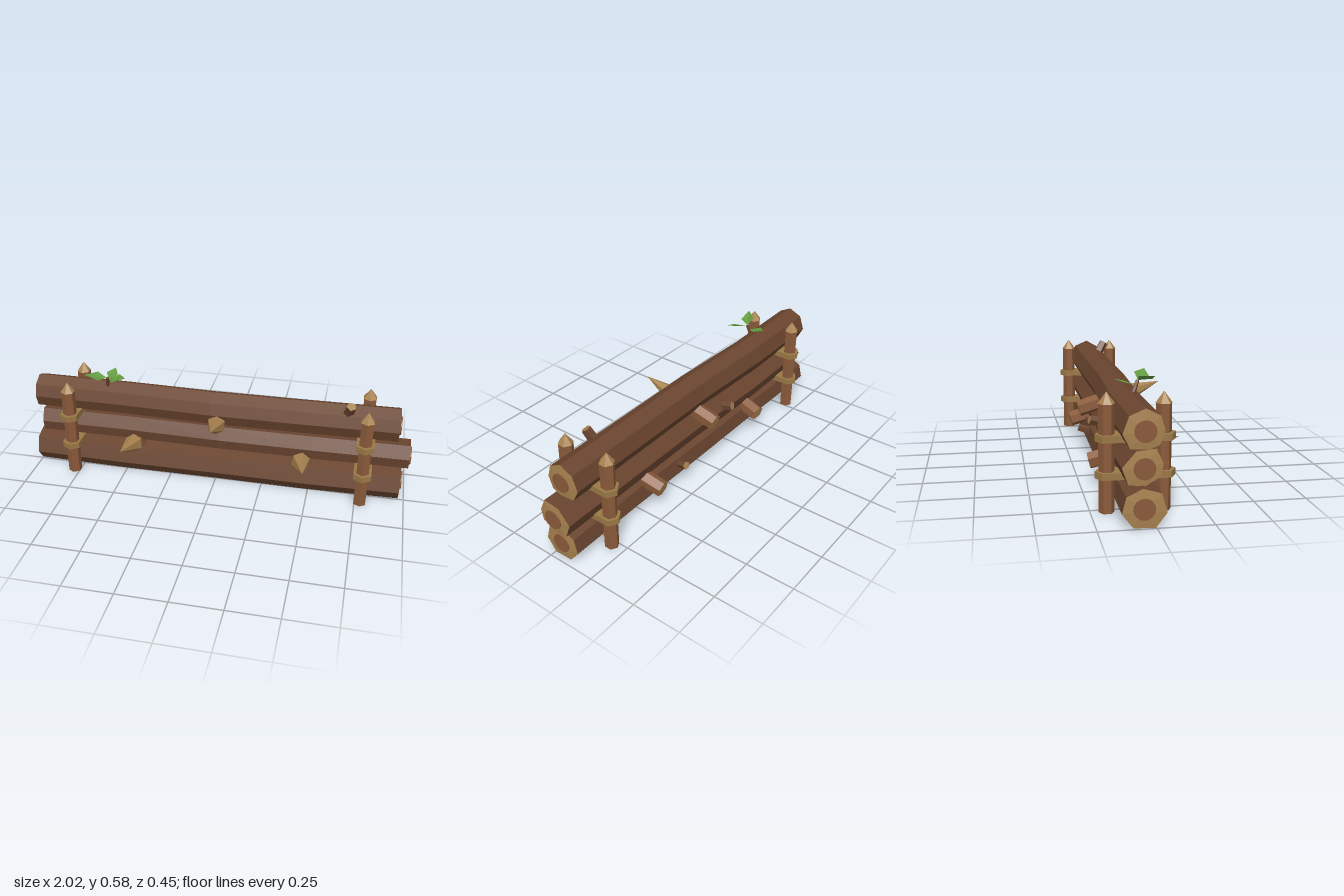
import * as THREE from 'three';

const mat = (name, color, side = THREE.FrontSide) => {
  const m = new THREE.MeshStandardMaterial({ color, flatShading: true, side });
  m.name = name;
  return m;
};

export function createModel() {
  const bark = mat('bark', 0x6a452f);
  const wood = mat('peeledWood', 0x8a5a3a);
  const cut = mat('cutWood', 0xa8824f);
  const strap = mat('strap', 0x9a7846);
  const green = mat('leaf', 0x639c40, THREE.DoubleSide);
  const model = new THREE.Group();
  const V = (x, y, z) => new THREE.Vector3(x, y, z);

  const add = (name, geometry, material, parent = model) => {
    const mesh = new THREE.Mesh(geometry, material);
    mesh.name = name;
    parent.add(mesh);
    return mesh;
  };

  // Faceted rod from a to b; materials are [side, end at b, end at a]
  const rod = (name, a, b, ra, rb, sides, materials, parent) => {
    const dir = b.clone().sub(a);
    const mesh = add(name, new THREE.CylinderGeometry(rb, ra, dir.length(), sides), materials, parent);
    mesh.position.copy(a).add(b).multiplyScalar(0.5);
    mesh.quaternion.setFromUnitVectors(V(0, 1, 0), dir.normalize());
    return mesh;
  };

  const trianglesGeometry = (tris) => {
    const g = new THREE.BufferGeometry().setFromPoints(tris);
    g.computeVertexNormals();
    return g;
  };

  // Logs: a [z, y] outline carried along x with a slight wobble
  const logs = [
    { name: 'bottomLog', x0: -1, x1: 0.97, wobble: [0, 0.006, 0.004, 0.008, 0],
      outline: [[0.043, 0.065], [-0.005, 0.002], [-0.1, 0.005], [-0.148, 0.068], [-0.13, 0.14], [-0.06, 0.174], [0.02, 0.15]] },
    { name: 'middleLog', x0: -0.955, x1: 1, wobble: [0.004, -0.004, 0.006, 0.004, 0],
      outline: [[0, 0.328], [0.03, 0.262], [0.018, 0.207], [-0.047, 0.168], [-0.118, 0.177], [-0.145, 0.25], [-0.085, 0.32]] },
    { name: 'topLog', x0: -0.98, x1: 0.935, wobble: [0.004, -0.002, 0.012, 0.006, 0],
      outline: [[0.012, 0.472], [0.03, 0.41], [0.008, 0.35], [-0.035, 0.332], [-0.115, 0.338], [-0.147, 0.4], [-0.12, 0.475], [-0.05, 0.505]] },
  ];
  for (const { name, x0, x1, wobble, outline } of logs) {
    const group = new THREE.Group();
    group.name = name;
    model.add(group);
    const n = outline.length, steps = wobble.length - 1;
    const point = (s, i) => {
      const [z, y] = outline[i % n];
      return V(x0 + (x1 - x0) * s / steps, y + (s > 0 && s < steps ? -0.003 : 0), z + wobble[s]);
    };
    const sides = [];
    for (let s = 0; s < steps; s++) {
      for (let i = 0; i < n; i++) {
        const a = point(s, i), b = point(s, i + 1), c = point(s + 1, i + 1), d = point(s + 1, i);
        sides.push(a, b, c, a, c, d);
      }
    }
    add('barkSurface', trianglesGeometry(sides), bark, group);

    // Slightly domed cut ends with a heartwood disc
    for (const [s, dir] of [[0, -1], [steps, 1]]) {
      const centre = V(0, 0, 0);
      for (let i = 0; i < n; i++) centre.addScaledVector(point(s, i), 1 / n);
      centre.x += dir * 0.008;
      const fan = [];
      for (let i = 0; i < n; i++) {
        const a = point(s, i), b = point(s, i + 1);
        fan.push(centre, ...(dir > 0 ? [a, b] : [b, a]));
      }
      add('cutEnd', trianglesGeometry(fan), cut, group);
      const heart = add('heartwood', new THREE.CylinderGeometry(0.047, 0.047, 0.008, 16), wood, group);
      heart.rotation.z = Math.PI / 2;
      heart.position.copy(centre).setX(centre.x - dir * 0.002);
    }
  }

  // Pointed posts clamping the logs, and the straps around each pair
  const strapShape = (x) => {
    const w = 0.045;
    return new THREE.Shape([[-w, -0.1], [0, -0.127], [w, -0.1], [w, 0.203], [0, 0.23], [-w, 0.203]]
      .map(([px, py]) => new THREE.Vector2(x + px, py)));
  };
  for (const x of [-0.777, 0.777]) {
    for (const [name, z, shoulder, tip] of [['frontPost', 0.072, 0.48, 0.532], ['backPost', -0.178, 0.485, 0.537]]) {
      rod(name, V(x, 0, z), V(x, shoulder, z), 0.035, 0.036, 6, wood);
      rod(name + 'Tip', V(x, shoulder, z), V(x, tip, z), 0.038, 0, 6, cut);
    }
    for (const y of [0.156, 0.321]) {
      const band = add('strap', new THREE.ExtrudeGeometry(strapShape(x), { depth: 0.031, bevelEnabled: false }), strap);
      band.rotation.x = -Math.PI / 2;
      band.position.y = y;
    }
  }

  // Sharpened stakes driven through the logs
  for (const [back, neck, tip] of [
    [V(-0.41, 0.125, -0.208), V(-0.44, 0.193, 0.045), V(-0.457, 0.24, 0.222)],
    [V(0, 0.285, -0.208), V(0.012, 0.358, 0.045), V(0.02, 0.415, 0.222)],
    [V(0.43, 0.125, -0.208), V(0.458, 0.193, 0.045), V(0.485, 0.234, 0.222)],
  ]) {
    rod('stakeShaft', back, neck, 0.042, 0.045, 6, [wood, cut, cut]);
    rod('stakePoint', neck, tip, 0.05, 0, 6, cut);
  }

  // Broken branch stubs
  for (const [a, b, r] of [
    [V(0.67, 0.455, -0.02), V(0.69, 0.53, 0.024), 0.025],
    [V(-0.185, 0.25, -0.09), V(-0.2, 0.272, -0.178), 0.024],
    [V(0.19, 0.1, -0.09), V(0.213, 0.128, -0.186), 0.021],
  ]) rod('branchStub', a, b, r * 1.1, r, 5, [bark, cut, cut]);

  // Sprout with three creased leaves
  const sprout = new THREE.Group();
  sprout.name = 'sprout';
  model.add(sprout);
  rod('stem', V(-0.59, 0.48, -0.03), V(-0.58, 0.543, -0.006), 0.012, 0.008, 5, bark, sprout);
  for (const [base, sideA, tip, sideB] of [
    [V(-0.585, 0.543, -0.005), V(-0.632, 0.571, -0.012), V(-0.682, 0.577, 0.052), V(-0.612, 0.552, 0.055)],
    [V(-0.572, 0.543, -0.005), V(-0.513, 0.569, -0.01), V(-0.465, 0.575, 0.046), V(-0.54, 0.55, 0.055)],
    [V(-0.578, 0.523, -0.022), V(-0.608, 0.54, -0.075), V(-0.57, 0.55, -0.117), V(-0.545, 0.537, -0.07)],
  ]) {
    const fold = base.clone().lerp(tip, 0.5);
    fold.y -= 0.004;
    add('leaf', trianglesGeometry([base, fold, sideA, sideA, fold, tip, base, sideB, fold, fold, sideB, tip]), green, sprout);
  }
  return model;
}
